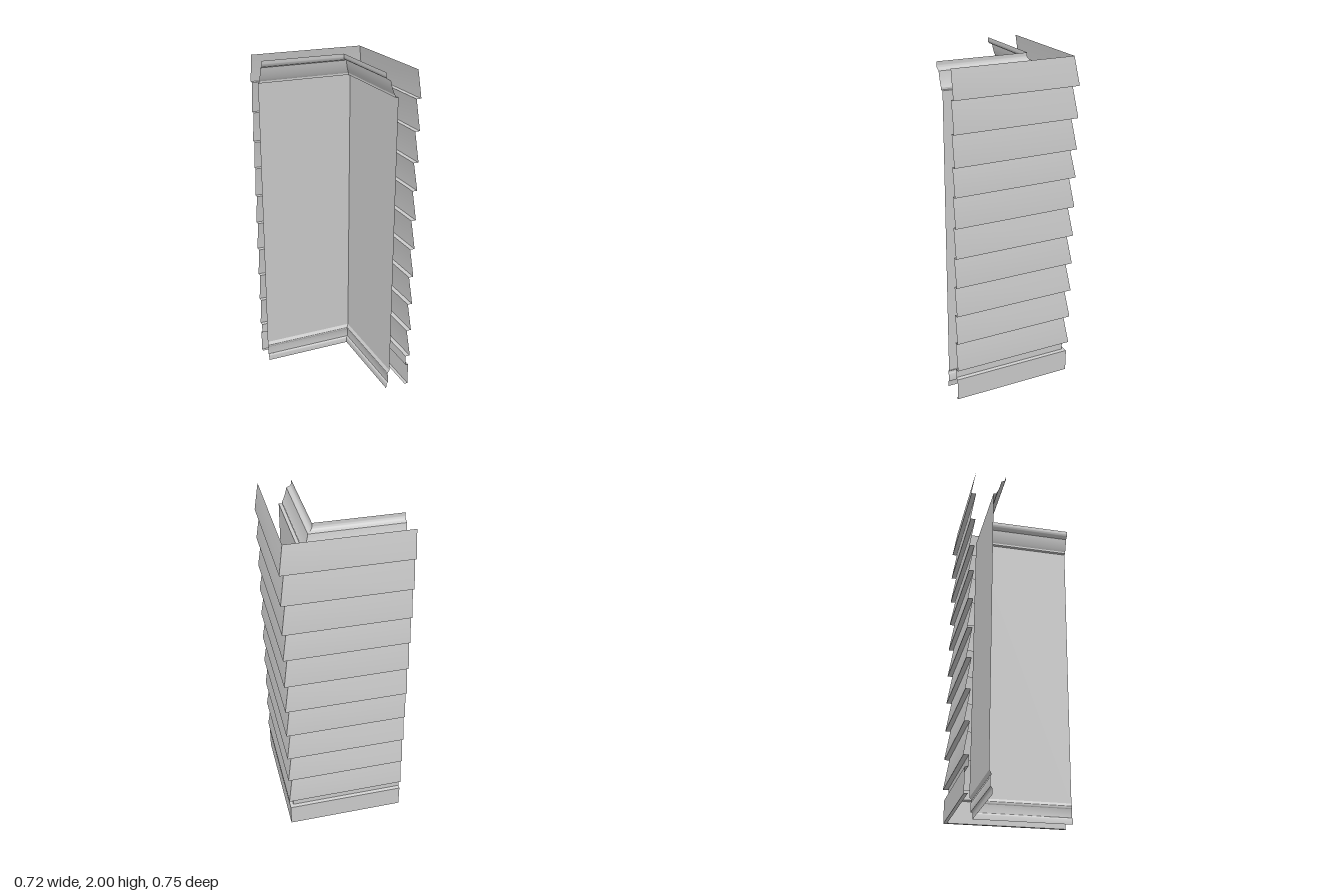
import * as THREE from 'three';
import { toCreasedNormals } from 'three/addons/utils/BufferGeometryUtils.js';

const X_END = -0.362, Z_END = 0.375;
const material = new THREE.MeshStandardMaterial({ color: 0xcccccc, side: THREE.DoubleSide });

// Sweeps a profile of [inset, y] points around a mitred corner at (cx, cz).
// Profiles listed downwards face outdoors, upwards face the room.
function cornerSweep(name, profile, cx, cz) {
  const positions = [], index = [];
  profile.forEach(([d, y], i) => {
    positions.push(X_END, y, cz + d, cx - d, y, cz + d, cx - d, y, Z_END);
    if (i === profile.length - 1) return;
    for (let k = 0; k < 2; k++) {
      const a = i * 3 + k;
      index.push(a, a + 1, a + 3, a + 1, a + 4, a + 3);
    }
  });
  const geometry = new THREE.BufferGeometry();
  geometry.setAttribute('position', new THREE.Float32BufferAttribute(positions, 3));
  geometry.setIndex(index);
  const mesh = new THREE.Mesh(toCreasedNormals(geometry, 0.5), material);
  mesh.name = name;
  return mesh;
}

// Points on a quadratic curve between two profile points
function bend(a, b, c, steps = 6) {
  const v = (p) => new THREE.Vector2(p[0], p[1]);
  return new THREE.QuadraticBezierCurve(v(a), v(b), v(c)).getPoints(steps).map((p) => [p.x, p.y]);
}

export function createModel() {
  const model = new THREE.Group();
  model.name = 'wallCorner';

  // Outdoor side: lapped boards, each leaning out to a small bottom lip
  const siding = new THREE.Group();
  siding.name = 'siding';
  const outX = 0.36, outZ = -0.378, recess = 0.028;
  const levels = [2, 1.838, 1.655, 1.472, 1.303, 1.12, 0.937, 0.754, 0.57, 0.387, 0.203];
  for (let i = 0; i < levels.length - 1; i++) {
    const top = levels[i], bottom = levels[i + 1];
    siding.add(cornerSweep(`sidingBoard${i + 1}`,
      [[i ? recess : 0.025, top], [0, bottom + 0.006], [0, bottom], [recess, bottom]], outX, outZ));
  }
  model.add(siding);

  // Recessed strip and skirt board below the siding
  model.add(cornerSweep('skirtBoard',
    [[recess, 0.203], [recess, 0.143], [0.008, 0.138], [0.008, 0], [recess, 0]], outX, outZ));

  // Room side: baseboard, plain wall and crown moulding
  const inX = 0.22, inZ = -0.242;
  model.add(cornerSweep('baseboard', [
    [0.018, 0], [0.018, 0.03],
    ...bend([0.018, 0.03], [0.016, 0.042], [0.007, 0.042], 4),
    [0.007, 0.095],
    ...bend([0.007, 0.095], [0.013, 0.1], [0.012, 0.112], 4),
    [0.005, 0.122], [0, 0.13],
  ], inX, inZ));
  model.add(cornerSweep('innerWall', [[0, 0.13], [0, 1.86]], inX, inZ));
  model.add(cornerSweep('crownMoulding', [
    [0, 1.86], [0.02, 1.86], [0.02, 1.872],
    ...bend([0.022, 1.875], [0.04, 1.91], [0.048, 1.955]),
    [0.054, 1.958],
    ...bend([0.054, 1.958], [0.076, 1.964], [0.077, 1.982]),
    [0.077, 2],
  ], inX, inZ));

  return model;
}
